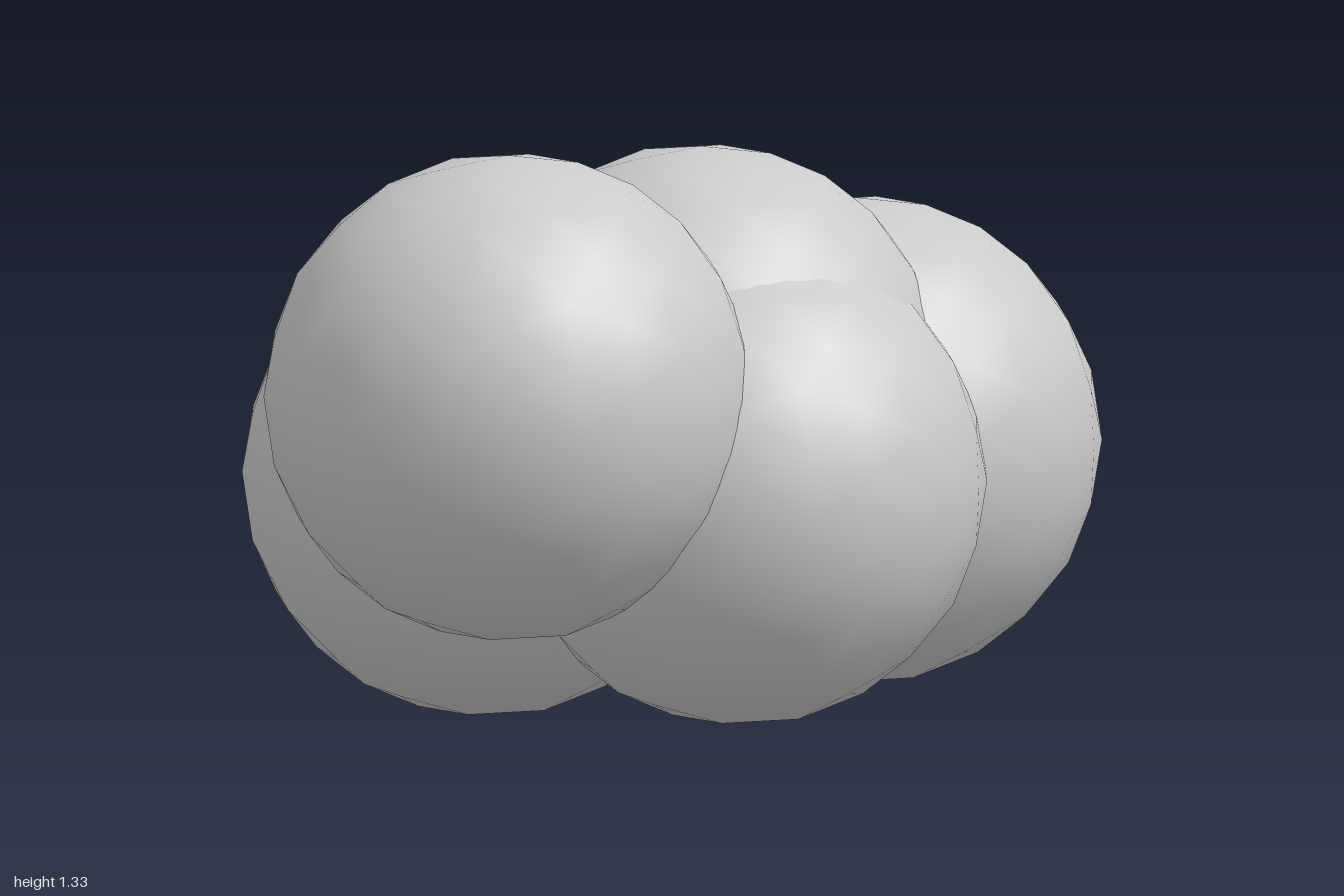
import * as THREE from 'three';

// Cluster of five equal, overlapping faceted balls with smooth shading
const RADIUS = 0.532;
const BALLS = [
  ['frontRightBall', -0.47, 0.80, 0.28],
  ['leftBall', 0.47, 0.567, -0.23],
  ['backRightBall', -0.35, 0.53, -0.28],
  ['frontLowerBall', 0.10, 0.56, 0.135],
  ['upperMiddleBall', 0.07, 0.73, -0.07],
];

export function createModel() {
  const model = new THREE.Group();
  model.name = 'ballCluster';
  const material = new THREE.MeshStandardMaterial({ color: 0xcccccc });
  const geometry = new THREE.IcosahedronGeometry(RADIUS, 3);

  for (const [name, x, y, z] of BALLS) {
    const ball = new THREE.Mesh(geometry, material);
    ball.name = name;
    ball.position.set(x, y, z);
    model.add(ball);
  }
  return model;
}
